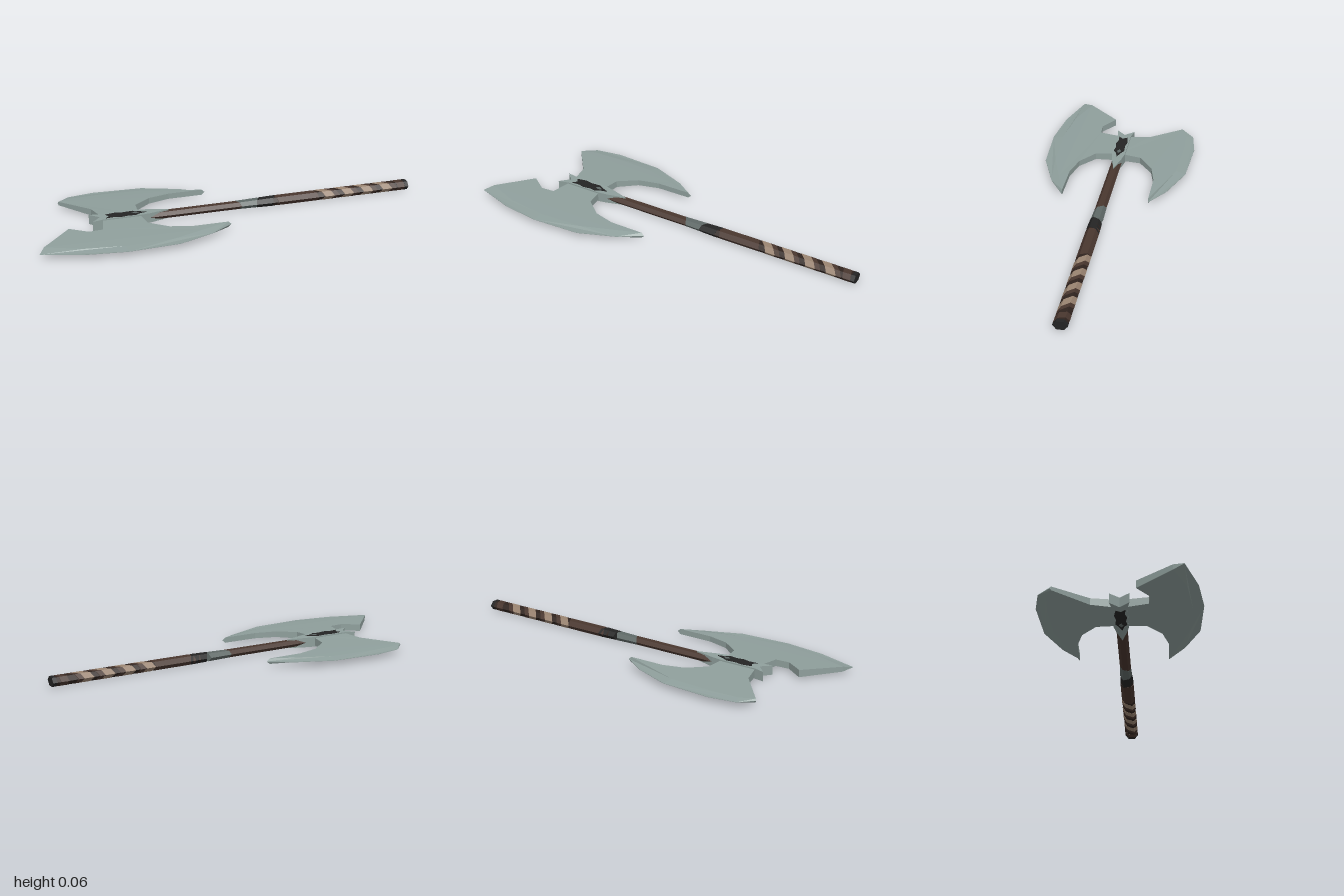
import * as THREE from 'three';

const MID = 0.028; // height of the flat axe's centre plane
const paint = (name, hex) => {
  const m = new THREE.MeshStandardMaterial({ color: hex });
  m.name = name;
  return m;
};

export function createModel() {
  const group = new THREE.Group();
  const steel = paint('steel', 0x8f9f9c);
  const dullSteel = paint('dullSteel', 0x5f6967);
  const black = paint('black', 0x242424);
  const wood = paint('wood', 0x4a372f);
  const darkWood = paint('darkWood', 0x30241f);
  const tan = paint('tan', 0x9a8471);

  const add = (name, geo, mat) => {
    const mesh = new THREE.Mesh(geo, mat);
    mesh.name = name;
    group.add(mesh);
    return mesh;
  };

  // Flat plate from [x, z, halfThickness] corners, symmetric about the centre plane
  function plate(name, pts, mat) {
    const shape = new THREE.Shape(pts.map(([x, z]) => new THREE.Vector2(x, -z)));
    const geo = new THREE.ExtrudeGeometry(shape, { depth: 1, bevelEnabled: false });
    geo.rotateX(-Math.PI / 2);
    const p = geo.attributes.position;
    for (let i = 0; i < p.count; i++) {
      const c = pts.find(([x, z]) => Math.hypot(x - p.getX(i), z - p.getZ(i)) < 1e-4);
      p.setY(i, MID + (p.getY(i) > 0.5 ? c[2] : -c[2]));
    }
    geo.computeVertexNormals();
    return add(name, geo, mat);
  }

  // Six-sided length of shaft along x; the ends can slant with z
  function shaft(name, x0, x1, r0, r1, mat, slant = 0) {
    const geo = new THREE.CylinderGeometry(r0, r1, x1 - x0, 6).toNonIndexed();
    geo.rotateZ(Math.PI / 2);
    geo.scale(1, 0.72, 1);
    const p = geo.attributes.position;
    for (let i = 0; i < p.count; i++) p.setX(i, p.getX(i) + slant * p.getZ(i));
    geo.translate((x0 + x1) / 2, MID, 0);
    geo.computeVertexNormals();
    return add(name, geo, mat);
  }

  // Blades: a tapering body plus a bevel running out to a sharp edge
  function blade(name, inner, ridge, edge) {
    const body = [...inner, ...ridge].map(([x, z]) => [x, z, bodyHalf(Math.abs(z))]);
    plate(name + 'Body', body, steel);
    const bevel = [
      ...ridge.map(([x, z]) => [x, z, bodyHalf(Math.abs(z))]),
      ...edge.map(([x, z]) => [x, z, 0.0008]),
    ];
    plate(name + 'Edge', bevel, steel);
  }
  function bodyHalf(z) {
    return z < 0.22 ? 0.021 - 0.03 * z : 0.0144 - 0.062 * (z - 0.22);
  }
  const neck = [[-0.04, 0.222], [-0.24, 0.222], [-0.35, 0.193], [-0.44, 0.12], [-0.455, 0]];
  const outer = [[-0.345, 0.375], [-0.16, 0.302], [-0.045, 0.224]];
  const ridgeTail = [[-0.36, 0.325], [-0.19, 0.268], [-0.06, 0.223]];
  const beard = neck.slice(1);
  blade('frontBlade',
    [...beard, [-0.635, 0], [-0.665, 0.135], [-0.735, 0.14], [-0.82, 0.08]],
    [[-0.97, 0.245], [-0.8, 0.31], [-0.6, 0.335], ...ridgeTail],
    [...outer.slice().reverse(), [-0.6, 0.388], [-0.8, 0.36], [-1, 0.295]]);
  const flip = (a) => a.map(([x, z]) => [x, -z]);
  blade('backBlade',
    flip([...beard, [-0.635, 0], [-0.665, 0.135]]),
    flip([[-0.797, 0.3], [-0.725, 0.33], [-0.6, 0.337], ...ridgeTail]),
    flip([...outer.slice().reverse(), [-0.6, 0.39], [-0.735, 0.367], [-0.8, 0.305]]));

  // Socket with two rear spikes and a pointed tongue over the shaft
  const half = [[-0.695, 0.047, 0.024], [-0.64, 0.036, 0.026], [-0.45, 0.036, 0.026], [-0.4, 0.027, 0.025]];
  plate('socket', [[-0.65, 0, 0.025], ...half, [-0.3, 0, 0.023],
    ...half.slice().reverse().map(([x, z, h]) => [x, -z, h])], steel);

  // Dark worn inlay on both faces of the socket
  plate('socketInlay', [[-0.625, 0.026], [-0.58, 0.022], [-0.55, 0.031], [-0.51, 0.024], [-0.475, 0.029],
    [-0.455, 0.014], [-0.415, 0.004], [-0.455, -0.012], [-0.48, -0.026], [-0.53, -0.022],
    [-0.57, -0.029], [-0.62, -0.02], [-0.605, 0.004]].map(([x, z]) => [x, z, 0.0272]), black);
  plate('socketFleck', [[-0.47, 0.012], [-0.45, 0.003], [-0.47, -0.011], [-0.49, 0]]
    .map(([x, z]) => [x, z, 0.0278]), dullSteel);

  // Shaft, ferrule and grip
  shaft('shaft', -0.45, 0.08, 0.027, 0.028, wood);
  shaft('ferrule', 0.06, 0.18, 0.0285, 0.032, dullSteel, 0.6);
  shaft('ferruleEnd', 0.17, 0.26, 0.032, 0.035, black, -0.5);
  shaft('grip', 0.22, 0.995, 0.0335, 0.035, darkWood);
  shaft('gripBand', 0.26, 0.48, 0.0345, 0.035, wood, 0.4);
  shaft('endBand', 0.93, 0.97, 0.0358, 0.0358, wood, 0.3);
  shaft('endCap', 0.98, 1, 0.0356, 0.0356, black);

  // Worn diagonal wraps
  for (let i = 0; i < 4; i++) {
    const x = 0.5 + i * 0.108;
    shaft('wrap', x, x + 0.05, 0.0357, 0.0357, tan, 0.9);
    shaft('wrapShade', x + 0.05, x + 0.078, 0.0355, 0.0355, wood, 0.9);
  }
  return group;
}
